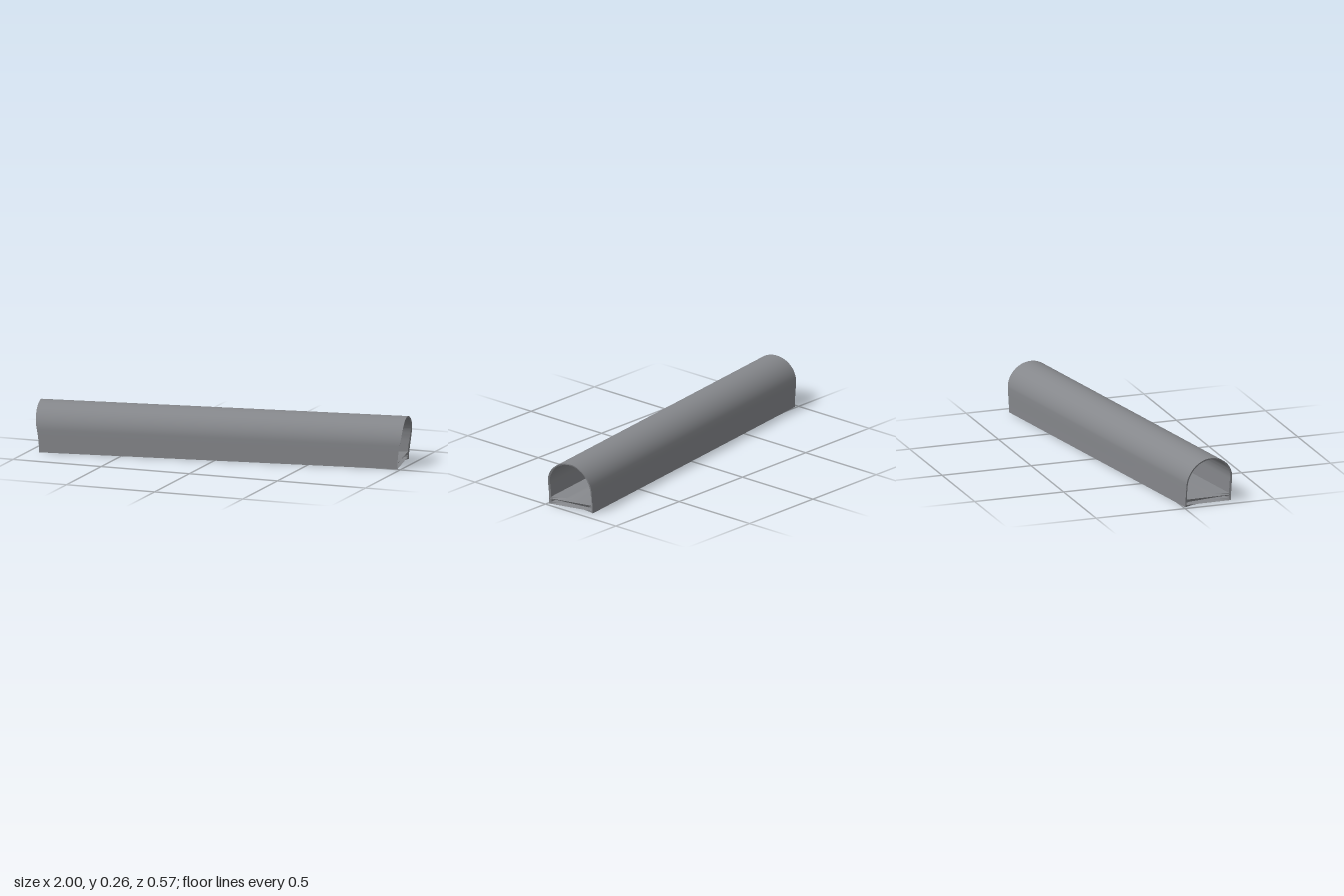
import * as THREE from 'three';
import { toCreasedNormals } from 'three/addons/utils/BufferGeometryUtils.js';

const STEPS = 20;

// Arch outline: finely divided flat base, straight sides, round crown.
function archPoints(halfWidth, base, spring, top) {
  const points = [];
  for (let i = 0; i < STEPS; i++) {
    points.push(new THREE.Vector2(-halfWidth + (2 * halfWidth * i) / STEPS, base));
  }
  for (let i = 0; i < 4; i++) {
    points.push(new THREE.Vector2(halfWidth, base + ((spring - base) * i) / 4));
  }
  for (let i = 0; i <= 40; i++) {
    const a = (Math.PI * i) / 40;
    points.push(new THREE.Vector2(halfWidth * Math.cos(a), spring + (top - spring) * Math.sin(a)));
  }
  for (let i = 3; i > 0; i--) {
    points.push(new THREE.Vector2(-halfWidth, base + ((spring - base) * i) / 4));
  }
  return points;
}

// Narrow rectangular slot, divided so it follows the hollowed end faces.
function slotPoints(halfWidth, bottom, top) {
  const points = [];
  for (let i = 0; i <= STEPS; i++) {
    points.push(new THREE.Vector2(-halfWidth + (2 * halfWidth * i) / STEPS, bottom));
  }
  for (let i = STEPS; i >= 0; i--) {
    points.push(new THREE.Vector2(-halfWidth + (2 * halfWidth * i) / STEPS, top));
  }
  return points;
}

export function createModel() {
  const group = new THREE.Group();
  group.name = 'archedDuct';

  const grey = new THREE.MeshStandardMaterial({ color: 0x85878b });
  grey.name = 'grey';

  // Cross-section: thin arched shell, thick floor with a slot through it
  const section = new THREE.Shape(archPoints(0.1375, 0, 0.122, 0.257));
  section.holes.push(new THREE.Path(archPoints(0.127, 0.04, 0.122, 0.248)));
  section.holes.push(new THREE.Path(slotPoints(0.127, 0.01, 0.023)));

  const geometry = new THREE.ExtrudeGeometry(section, { depth: 2, steps: 1, bevelEnabled: false });
  geometry.translate(0, 0, -1);

  // Saddle-cut both ends: hollow across the base, reaching out to the crown
  const position = geometry.attributes.position;
  for (let i = 0; i < position.count; i++) {
    const v = position.getX(i);
    const y = position.getY(i);
    position.setZ(i, position.getZ(i) * (0.94 + 1.6 * v * v + 0.8 * y * y));
  }
  geometry.rotateY(Math.PI / 2);

  const duct = new THREE.Mesh(toCreasedNormals(geometry, 0.6), grey);
  duct.name = 'ductShell';
  duct.rotation.y = THREE.MathUtils.degToRad(8.6);
  group.add(duct);

  return group;
}
